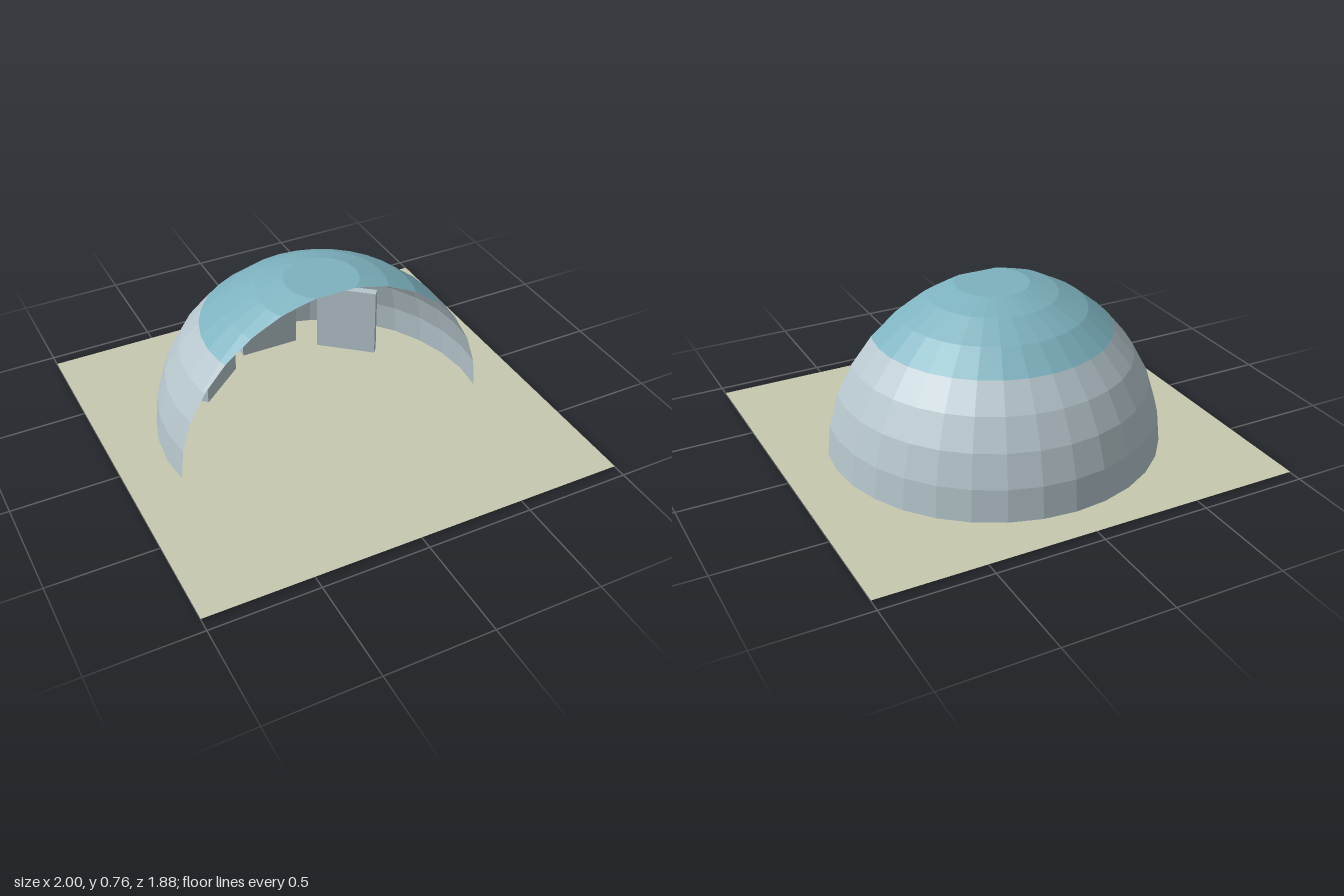
import * as THREE from 'three';

const R = 0.775;      // dome radius
const CUT_Z = 0.14;   // plane of the open front
const GROUND_Y = 0.003;

// Keeps only the part of a geometry behind the plane z = CUT_Z, flat shaded
function clipFront(geometry) {
  const p = geometry.toNonIndexed().attributes.position;
  const out = [];
  for (let i = 0; i < p.count; i += 3) {
    const tri = [0, 1, 2].map(k => new THREE.Vector3().fromBufferAttribute(p, i + k));
    const poly = [];
    tri.forEach((a, k) => {
      const b = tri[(k + 1) % 3];
      const inA = a.z <= CUT_Z, inB = b.z <= CUT_Z;
      if (inA) poly.push(a);
      if (inA !== inB) poly.push(a.clone().lerp(b, (CUT_Z - a.z) / (b.z - a.z)));
    });
    for (let k = 1; k + 1 < poly.length; k++) {
      const area = new THREE.Triangle(poly[0], poly[k], poly[k + 1]).getArea();
      if (area < 1e-9) continue;
      for (const v of [poly[0], poly[k], poly[k + 1]]) out.push(v.x, v.y, v.z);
    }
  }
  const g = new THREE.BufferGeometry();
  g.setAttribute('position', new THREE.Float32BufferAttribute(out, 3));
  g.computeVertexNormals();
  return g;
}

export function createModel() {
  const material = (name, color) => {
    const m = new THREE.MeshStandardMaterial({ color, flatShading: true, side: THREE.DoubleSide });
    m.name = name;
    return m;
  };
  const grey = material('paleGrey', 0xb6c6cc);
  const blue = material('tealBlue', 0x7db2bf);
  const sand = material('sand', 0xc6c8af);

  const model = new THREE.Group();
  const add = (name, geometry, mat) => {
    const mesh = new THREE.Mesh(geometry, mat);
    mesh.name = name;
    model.add(mesh);
    return mesh;
  };

  // Ground sheet
  const ground = new THREE.PlaneGeometry(2, 1.875).rotateX(-Math.PI / 2);
  add('ground', ground, sand).position.y = GROUND_Y;

  // Dome profile: eight rings, the upper half blue with a flat top
  const ring = i => {
    const a = i * Math.PI / 16;
    return new THREE.Vector2(R * Math.cos(a), R * Math.sin(a));
  };
  const lower = [0, 1, 2, 3, 4].map(ring);
  lower[0].y = GROUND_Y;
  const upper = [4, 5, 6].map(ring);
  upper.push(new THREE.Vector2(0.168, 0.757), new THREE.Vector2(0, 0.757));
  add('domeWall', clipFront(new THREE.LatheGeometry(lower, 32)), grey);
  add('domeRoof', clipFront(new THREE.LatheGeometry(upper, 32)), blue);

  // Dome floor, seen from underneath
  const floor = new THREE.CircleGeometry(R, 32).rotateX(Math.PI / 2);
  add('domeFloor', clipFront(floor), blue);

  // Three standing panels facing the middle of the dome
  const panel = new THREE.BoxGeometry(0.295, 0.35, 0.04);
  const place = (name, x, z, turn) => {
    const mesh = add(name, panel, grey);
    mesh.position.set(x, 0.185, z);
    mesh.rotation.y = turn;
  };
  const turn = THREE.MathUtils.degToRad(40);
  place('middlePanel', 0, -0.595, 0);
  for (const s of [-1, 1]) {
    place(s < 0 ? 'rightPanel' : 'leftPanel', s * 0.35, -0.412, -s * turn);
  }
  return model;
}
